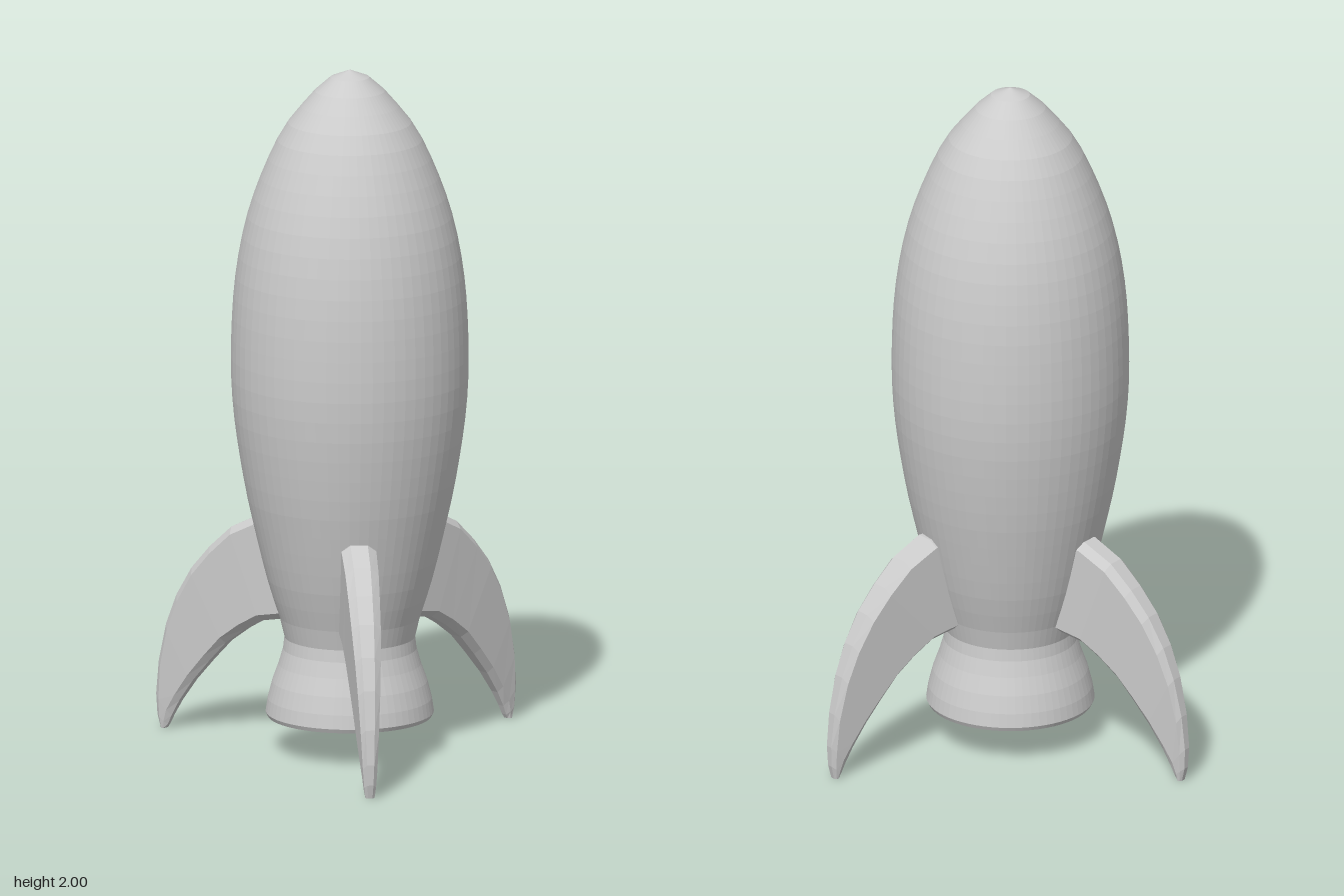
import * as THREE from 'three';

const V2 = (p) => new THREE.Vector2(p[0], p[1]);
const material = new THREE.MeshStandardMaterial({ color: 0xcccccc, flatShading: true });

// Fin stations, root to tip: outer radius, outer y, inner radius, inner y, half thickness
const FIN = [
  [0.12, 0.668, 0.12, 0.37, 0.05],
  [0.28, 0.665, 0.19, 0.37, 0.05],
  [0.37, 0.62, 0.27, 0.355, 0.048],
  [0.44, 0.555, 0.33, 0.32, 0.045],
  [0.5, 0.485, 0.39, 0.275, 0.042],
  [0.55, 0.4, 0.445, 0.215, 0.037],
  [0.585, 0.31, 0.5, 0.15, 0.032],
  [0.61, 0.2, 0.545, 0.085, 0.026],
  [0.62, 0.1, 0.57, 0.04, 0.021],
  [0.617, 0.04, 0.583, 0.012, 0.017],
  [0.607, 0, 0.59, 0, 0.013],
];

// Lofted fin pointing along +z, with chamfered leading and trailing edges
function finGeometry() {
  const positions = [], index = [], n = 8;
  for (const [ro, yo, ri, yi, w] of FIN) {
    const chord = Math.hypot(ro - ri, yo - yi);
    const c = Math.min(0.02 / chord, 0.3);
    const section = [[0, 0.5], [c, 1], [1 - c, 1], [1, 0.5], [1, -0.5], [1 - c, -1], [c, -1], [0, -0.5]];
    for (const [t, s] of section) {
      positions.push(s * w, yo + (yi - yo) * t, ro + (ri - ro) * t);
    }
  }
  for (let i = 0; i < FIN.length - 1; i++) {
    for (let j = 0; j < n; j++) {
      const a = i * n + j, b = i * n + (j + 1) % n;
      index.push(a, a + n, b, b, a + n, b + n);
    }
  }
  // End caps
  const last = (FIN.length - 1) * n;
  for (let j = 1; j < n - 1; j++) {
    index.push(0, j, j + 1, last, last + j + 1, last + j);
  }
  const g = new THREE.BufferGeometry();
  g.setAttribute('position', new THREE.Float32BufferAttribute(positions, 3));
  g.setIndex(index);
  g.computeVertexNormals();
  return g;
}

export function createModel() {
  const group = new THREE.Group();
  const axis = [0.005, -0.125];

  // Hull: egg-shaped body narrowing to the neck
  const hullCurve = new THREE.SplineCurve([
    [0.187, 0.335], [0.197, 0.38], [0.235, 0.5], [0.272, 0.65], [0.304, 0.8], [0.333, 1],
    [0.34, 1.18], [0.327, 1.4], [0.286, 1.6], [0.205, 1.8], [0.125, 1.91], [0.06, 1.975], [0, 2],
  ].map(V2));
  const hullPoints = hullCurve.getSpacedPoints(30);
  hullPoints[30].x = 0;
  const hull = new THREE.Mesh(new THREE.LatheGeometry(hullPoints, 64), material);
  hull.name = 'hull';

  // Nozzle: flared skirt with a rim and a shallow hollow underneath
  const nozzlePoints = [
    [0, 0.175], [0.1, 0.16], [0.165, 0.13], [0.195, 0.105], [0.235, 0.103], [0.241, 0.115],
    [0.235, 0.155], [0.222, 0.205], [0.204, 0.255], [0.191, 0.3], [0.187, 0.335],
  ].map(V2);
  const nozzle = new THREE.Mesh(new THREE.LatheGeometry(nozzlePoints, 64), material);
  nozzle.name = 'nozzle';

  for (const part of [hull, nozzle]) {
    part.position.set(axis[0], 0, axis[1]);
    group.add(part);
  }

  // Three fins: heading about y, and the point each one radiates from
  const shape = finGeometry();
  const fins = [
    ['frontFin', 0, axis],
    ['backLeftFin', 128.8, [0.027, -0.101]],
    ['backRightFin', -123.2, axis],
  ];
  for (const [name, degrees, [x, z]] of fins) {
    const fin = new THREE.Mesh(shape, material);
    fin.name = name;
    fin.position.set(x, 0, z);
    fin.rotation.y = THREE.MathUtils.degToRad(degrees);
    group.add(fin);
  }
  return group;
}
